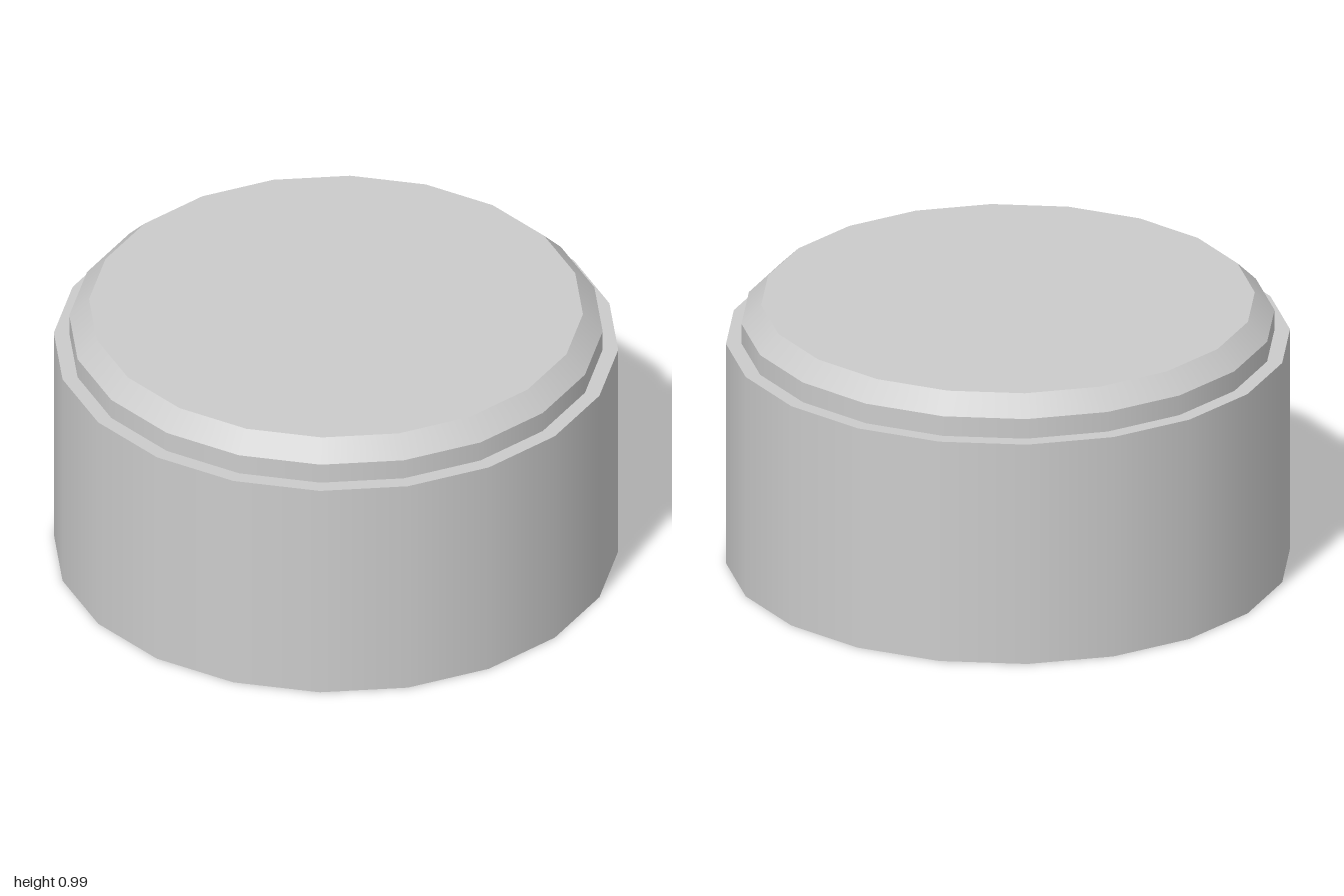
import * as THREE from 'three';
import { mergeGeometries } from 'three/addons/utils/BufferGeometryUtils.js';

const SIDES = 20;

// Revolves a profile of [radius, y] points: smooth around, sharp between bands.
function revolve(name, profile, material) {
  const bands = [];
  for (let i = 0; i < profile.length - 1; i++) {
    const pair = [profile[i], profile[i + 1]].map(([r, y]) => new THREE.Vector2(r, y));
    bands.push(new THREE.LatheGeometry(pair, SIDES));
  }
  const mesh = new THREE.Mesh(mergeGeometries(bands), material);
  mesh.name = name;
  return mesh;
}

export function createModel() {
  const group = new THREE.Group();
  group.name = 'lowDrum';
  const material = new THREE.MeshStandardMaterial({ color: 0xcccccc });

  // Body: base disc, wall and narrow flat shoulder
  group.add(revolve('body', [[0, 0], [1, 0], [1, 0.84], [0.945, 0.84]], material));

  // Lid: short wall, bevelled rim and flat top
  group.add(revolve('lid', [[0.945, 0.84], [0.945, 0.915], [0.875, 0.985], [0, 0.985]], material));

  return group;
}
